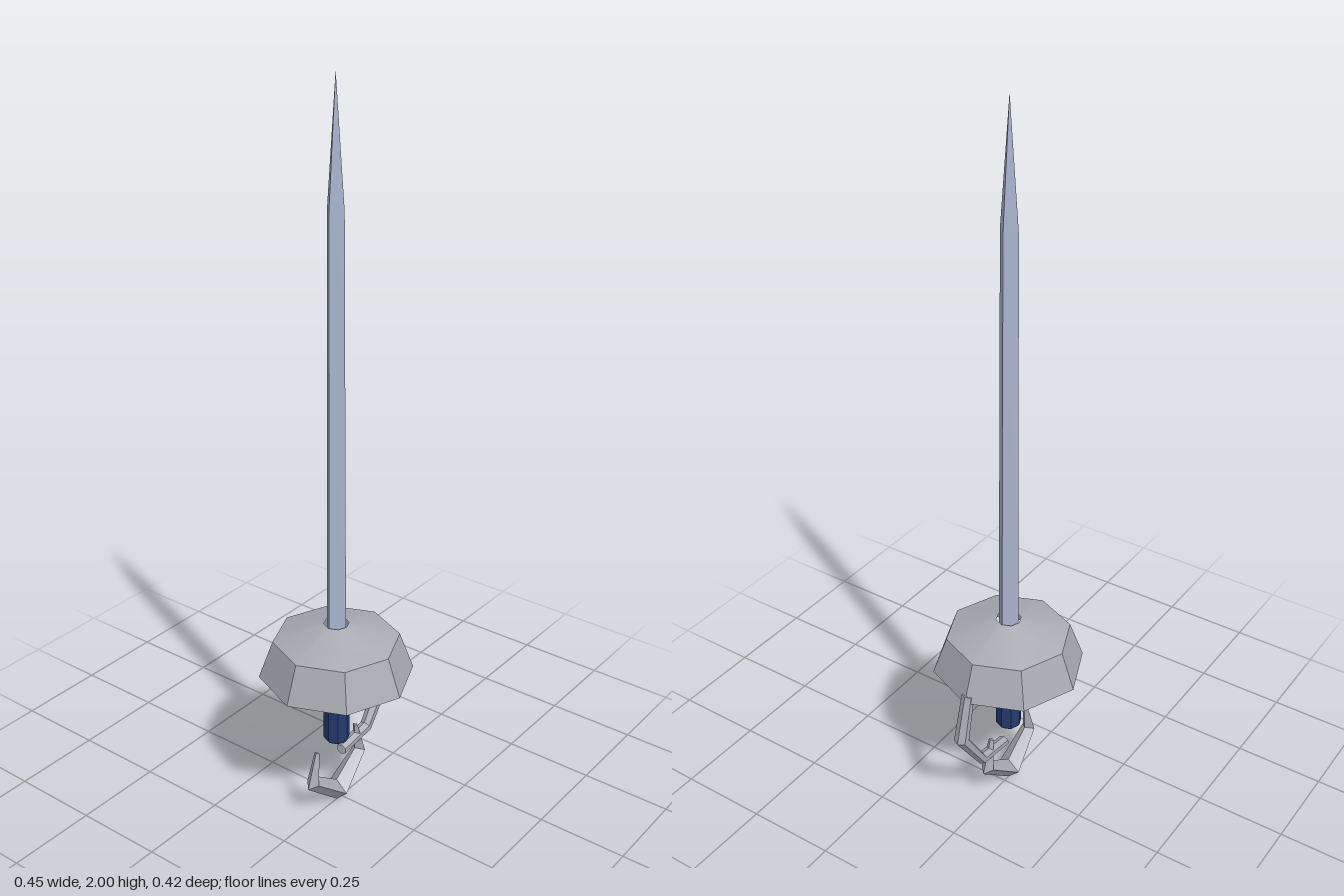
import * as THREE from 'three';
import { toCreasedNormals } from 'three/addons/utils/BufferGeometryUtils.js';

const AXIS_X = -0.02;

// Sweep a polygon through stations given as [outerX, outerY, innerX, innerY, halfDepth]
function sweep(stations, sides) {
  const pos = [], index = [];
  for (const [ox, oy, ix, iy, w] of stations) {
    for (let j = 0; j < sides; j++) {
      const a = (j / sides) * Math.PI * 2;
      const c = Math.cos(a) / 2;
      const depth = w * Math.sin(a) / (sides === 6 ? Math.sin(Math.PI / 3) : 1);
      pos.push((ox + ix) / 2 + (ix - ox) * c, (oy + iy) / 2 + (iy - oy) * c, depth);
    }
  }
  for (let i = 0; i < stations.length - 1; i++) {
    for (let j = 0; j < sides; j++) {
      const a = i * sides + j, b = i * sides + (j + 1) % sides;
      index.push(a, b, b + sides, a, b + sides, a + sides);
    }
  }
  // end caps
  const last = (stations.length - 1) * sides;
  for (let j = 1; j < sides - 1; j++) {
    index.push(0, j + 1, j, last, last + j, last + j + 1);
  }
  const g = new THREE.BufferGeometry();
  g.setAttribute('position', new THREE.Float32BufferAttribute(pos, 3));
  g.setIndex(index);
  return toCreasedNormals(g, 0.45);
}

// Turned part with few sides and corners on the x and z axes
function turned(profile, sides) {
  const points = profile.map(([r, y]) => new THREE.Vector2(r, y));
  return toCreasedNormals(new THREE.LatheGeometry(points, sides), 0.45);
}

export function createModel() {
  const blueSteel = new THREE.MeshStandardMaterial({ color: 0xaab4d0 });
  blueSteel.name = 'blue steel';
  const greySteel = new THREE.MeshStandardMaterial({ color: 0xa8abb2, side: THREE.DoubleSide });
  greySteel.name = 'grey steel';
  const navyGrip = new THREE.MeshStandardMaterial({ color: 0x233a70 });
  navyGrip.name = 'navy grip';

  const model = new THREE.Group();
  model.name = 'sword';
  const add = (name, geometry, material, x = 0) => {
    const mesh = new THREE.Mesh(geometry, material);
    mesh.name = name;
    mesh.position.x = x;
    model.add(mesh);
  };

  // Diamond blade with a long point
  add('blade', turned([[0, 0.52], [0.032, 0.52], [0.026, 1.68], [0, 2]], 4), blueSteel, AXIS_X);

  // Open eight-sided cup guard with a hole for the blade
  add('guard', turned([[0.208, 0.42], [0.17, 0.525], [0.034, 0.57]], 8), greySteel, AXIS_X);

  // Grip with softened ends
  add('grip', turned([[0, 0.205], [0.03, 0.205], [0.036, 0.213], [0.036, 0.462], [0.03, 0.47], [0, 0.47]], 8),
    navyGrip, AXIS_X);

  // Knuckle bow curving down from the guard rim
  add('knuckleBow', sweep([
    [0.0, 0.141, 0.003, 0.169, 0.014],
    [0.121, 0.157, 0.107, 0.186, 0.015],
    [0.224, 0.302, 0.186, 0.308, 0.018],
    [0.187, 0.44, 0.157, 0.432, 0.015],
  ], 6), greySteel);

  // Crescent pommel, mirrored about the sword's axis
  const half = [
    [-0.09, 0.205, -0.08, 0.203, 0.008],
    [-0.125, 0.105, -0.083, 0.125, 0.02],
  ];
  const mirrored = half.map(([ox, oy, ix, iy, w]) => [-ox, oy, -ix, iy, w]).reverse();
  add('pommel', sweep([...half, [0, 0, 0, 0.066, 0.035], ...mirrored], 4), greySteel, AXIS_X);

  return model;
}
